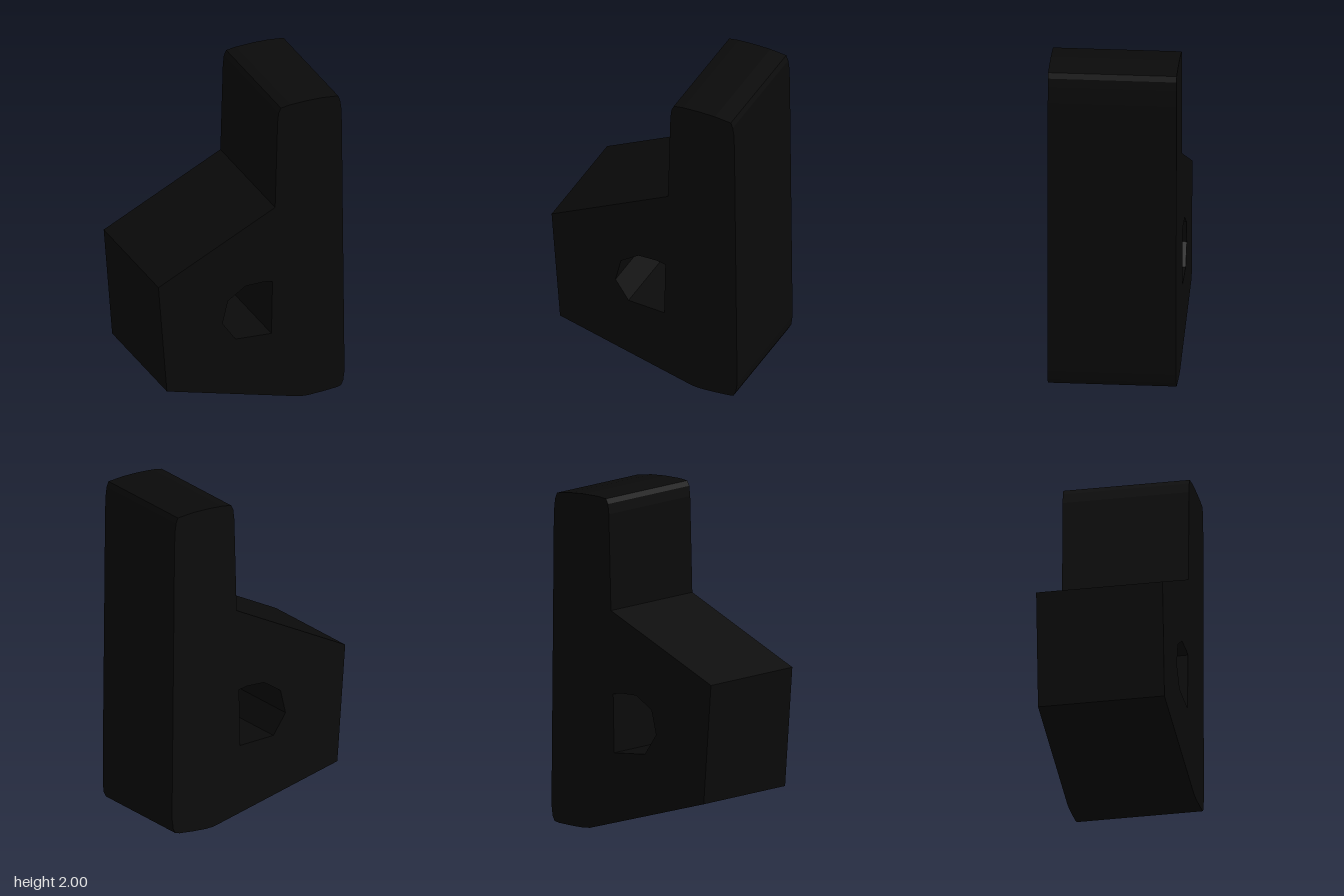
import * as THREE from 'three';

const DEPTH = 0.76;
const toPoints = (pairs) => pairs.map(([x, y]) => new THREE.Vector2(x, y));

export function createModel() {
  const group = new THREE.Group();
  group.name = 'piercedBlock';

  const black = new THREE.MeshStandardMaterial({ color: 0x0a0a0a });
  black.name = 'black';

  // Outline: softened foot, tall post, sloping shoulder and side
  const outline = new THREE.Shape(toPoints([
    [0.31, 0.005], [0.36, 0], [0.45, 0.002], [0.55, 0.008], [0.58, 0.015],
    [0.595, 0.045], [0.602, 0.1], [0.602, 0.25], [0.592, 1.2],
    [0.586, 1.8], [0.582, 1.9], [0.575, 1.95], [0.562, 1.983],
    [0.46, 1.996], [0.36, 2], [0.25, 1.998], [0.19, 1.99],
    [0.175, 1.96], [0.168, 1.9], [0.152, 1.325],
    [-0.607, 0.965], [-0.552, 0.247],
  ]));

  // Faceted opening that runs right through
  outline.holes.push(new THREE.Path(toPoints([
    [0.128, 0.476], [-0.105, 0.494], [-0.19, 0.62], [-0.155, 0.765],
    [-0.04, 0.838], [0.08, 0.838], [0.135, 0.826],
  ])));

  // Straight extrusion, centred front to back
  const geometry = new THREE.ExtrudeGeometry(outline, { depth: DEPTH, bevelEnabled: false });
  geometry.translate(0, 0, -DEPTH / 2);

  const body = new THREE.Mesh(geometry, black);
  body.name = 'body';
  group.add(body);
  return group;
}
